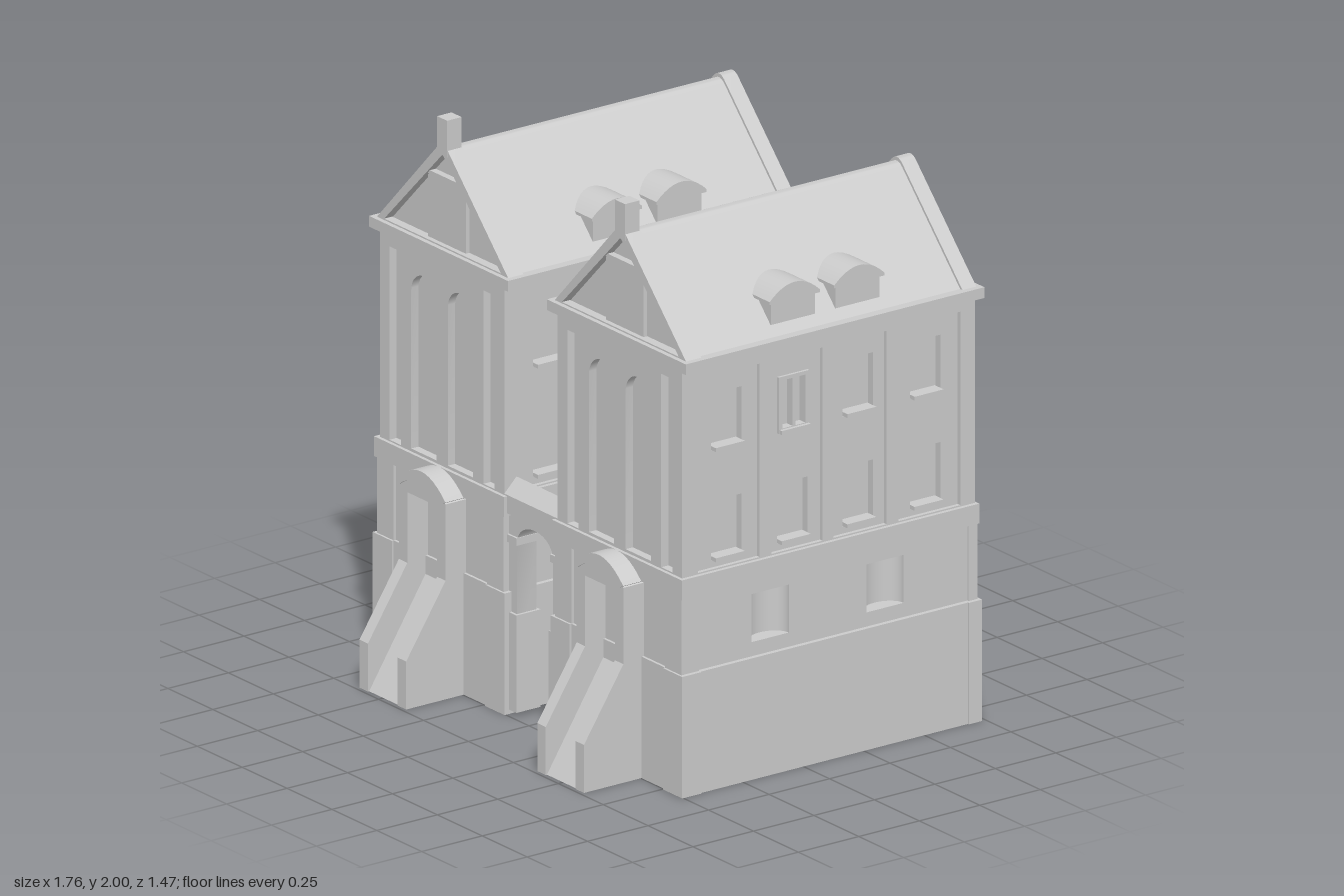
import * as THREE from 'three';
import { toCreasedNormals } from 'three/addons/utils/BufferGeometryUtils.js';

const mat = new THREE.MeshStandardMaterial({ color: 0xcccccc, side: THREE.DoubleSide });

function add(parent, name, geo, x = 0, y = 0, z = 0) {
  const m = new THREE.Mesh(geo, mat);
  m.name = name;
  m.position.set(x, y, z);
  parent.add(m);
  return m;
}

// Box given by its limits
function box(parent, name, x0, x1, y0, y1, z0, z1) {
  return add(parent, name, new THREE.BoxGeometry(x1 - x0, y1 - y0, z1 - z0),
    (x0 + x1) / 2, (y0 + y1) / 2, (z0 + z1) / 2);
}

const poly = (pts, Kind = THREE.Shape) => new Kind(pts.map(p => new THREE.Vector2(...p)));
const rect = (u0, u1, v0, v1, Kind) => poly([[u0, v0], [u1, v0], [u1, v1], [u0, v1]], Kind);
const rectHole = (u0, u1, v0, v1) => rect(u0, u1, v0, v1, THREE.Path);

function extrude(shape, depth, holes = []) {
  shape.holes.push(...holes);
  const g = new THREE.ExtrudeGeometry(shape, { depth, bevelEnabled: false, curveSegments: 12 });
  return toCreasedNormals(g, 0.5);
}

// Shape drawn in x,y and extruded from z0 to z1
const frontPiece = (parent, name, shape, z0, z1, holes) =>
  add(parent, name, extrude(shape, z1 - z0, holes), 0, 0, z0);

// Shape drawn in z,y and extruded from x0 to x1
const sidePiece = (parent, name, shape, x0, x1, holes) =>
  add(parent, name, extrude(shape, x1 - x0, holes).rotateY(-Math.PI / 2), x1, 0, 0);

// Hollow rectangular band around the house
function ring(parent, name, half, y0, y1, z0, z1, t = 0.035) {
  const g = extrude(rect(-half, half, -z1, -z0), y1 - y0,
    [rectHole(-half + t, half - t, -z1 + t, -z0 - t)]);
  add(parent, name, g.rotateX(-Math.PI / 2), 0, y0, 0);
}

// Side piece repeated on both flanks, between distances a and b from the middle
function flanks(parent, name, makeShape, a, b, makeHoles = () => []) {
  sidePiece(parent, name, makeShape(), a, b, makeHoles());
  sidePiece(parent, name, makeShape(), -b, -a, makeHoles());
}

const BAYS = [[0.425, 0.17], [0.12, -0.09], [-0.135, -0.355], [-0.405, -0.66]];
const WINDOW_Z = [0.297, 0.024, -0.247, -0.525];
const WINDOW_Y = [[0.80, 1.01], [1.19, 1.39]];
const NICHE_Z = [0.125, -0.35];

function lowerStorey(h) {
  ring(h, 'plinth', 0.362, 0, 0.43, -0.73, 0.497);
  ring(h, 'stringCourse', 0.362, 0.70, 0.77, -0.727, 0.503, 0.06);
  box(h, 'lowerFrontWall', -0.345, 0.345, 0.43, 0.70, 0.46, 0.487);
  box(h, 'lowerBackWall', -0.345, 0.345, 0.43, 0.70, -0.72, -0.69);
  flanks(h, 'lowerSideWall', () => rect(-0.72, 0.487, 0.43, 0.70), 0.32, 0.345,
    () => NICHE_Z.map(z => rectHole(z - 0.077, z + 0.077, 0.48, 0.65)));

  for (const s of [-1, 1]) {
    // Rounded window niches
    for (const z of NICHE_Z) {
      const start = s > 0 ? Math.PI : 0;
      const n = add(h, 'windowNiche', new THREE.CylinderGeometry(0.077, 0.077, 0.17, 16, 1, false,
        start, Math.PI), s * 0.343, 0.565, z);
      n.scale.x = 0.75;
    }
    // Corner piers, front and back
    const p = (name, a, b, y0, y1, z0, z1) =>
      box(h, name, Math.min(s * a, s * b), Math.max(s * a, s * b), y0, y1, z0, z1);
    p('frontPier', 0.26, 0.352, 0.43, 0.70, 0.425, 0.497);
    p('frontPierBase', 0.26, 0.367, 0, 0.43, 0.425, 0.505);
    p('backPier', 0.32, 0.352, 0.43, 0.70, -0.727, -0.69);
    p('backPierBase', 0.31, 0.367, 0, 0.43, -0.735, -0.68);
  }
}

function entrance(h) {
  // Arched surround with a doorway
  const hood = poly([[-0.13, 0.42], [-0.083, 0.42], [-0.083, 0.67], [0.083, 0.67],
    [0.083, 0.42], [0.13, 0.42], [0.13, 0.69]]);
  hood.quadraticCurveTo(0, 0.835, -0.13, 0.69);
  frontPiece(h, 'doorSurround', hood, 0.48, 0.572);
  const cap = poly([[-0.137, 0.70], [-0.12, 0.69]]);
  cap.quadraticCurveTo(0, 0.78, 0.12, 0.69);
  cap.lineTo(0.137, 0.70);
  cap.quadraticCurveTo(0, 0.84, -0.137, 0.70);
  frontPiece(h, 'doorHood', cap, 0.48, 0.578);
  // Sloping cheeks and the chute between them
  flanks(h, 'chuteCheek', () => poly([[0.48, 0], [0.735, 0], [0.735, 0.17], [0.572, 0.42], [0.48, 0.42]]),
    0.083, 0.13);
  sidePiece(h, 'chute', poly([[0.49, 0.375], [0.49, 0.345], [0.71, 0], [0.73, 0]]), -0.083, 0.083);
}

function upperStorey(h) {
  box(h, 'upperCore', -0.305, 0.305, 0.73, 1.53, -0.708, 0.46);

  // Front with side strips and two tall blind arches
  const arch = x => {
    const p = new THREE.Path();
    p.moveTo(x - 0.07, 0.78);
    p.lineTo(x + 0.07, 0.78);
    p.lineTo(x + 0.07, 1.34);
    p.absarc(x, 1.34, 0.07, 0, Math.PI);
    p.lineTo(x - 0.07, 0.78);
    return p;
  };
  frontPiece(h, 'frontWall', rect(-0.347, 0.347, 0.75, 1.52), 0.458, 0.49,
    [arch(-0.102), arch(0.102), rectHole(-0.293, -0.23, 0.775, 1.46), rectHole(0.23, 0.293, 0.775, 1.46)]);

  // Side walls: pilaster layer over window layer
  flanks(h, 'pilasterLayer', () => rect(-0.72, 0.47, 0.75, 1.52), 0.33, 0.347,
    () => BAYS.map(([a, b]) => rectHole(b, a, 0.775, 1.46)));
  flanks(h, 'windowLayer', () => rect(-0.715, 0.465, 0.75, 1.52), 0.30, 0.332,
    () => WINDOW_Z.flatMap(z => WINDOW_Y.map(([a, b]) => rectHole(z - 0.063, z + 0.063, a, b))));
  for (const z of WINDOW_Z) for (const [y] of WINDOW_Y)
    flanks(h, 'windowSill', () => rect(z - 0.06, z + 0.06, y, y + 0.014), 0.30, 0.355);

  // One casement with a frame and mullion
  const z = WINDOW_Z[1];
  flanks(h, 'casementFrame', () => rect(z - 0.063, z + 0.063, 1.19, 1.39), 0.31, 0.342,
    () => [rectHole(z - 0.047, z - 0.006, 1.207, 1.377), rectHole(z + 0.006, z + 0.047, 1.207, 1.377)]);
}

// Steep gable outline with a rounded ridge, grown by o
function gable(o) {
  const s = poly([[-0.36 - o, 1.535], [0.36 + o, 1.535], [0.03, 1.878 + o]]);
  s.quadraticCurveTo(0, 1.908 + o, -0.03, 1.878 + o);
  return s;
}

function roof(h) {
  box(h, 'eavesCornice', -0.387, 0.387, 1.505, 1.543, -0.73, 0.505);
  frontPiece(h, 'roof', gable(0), -0.66, 0.43);
  frontPiece(h, 'backCoping', gable(0.013), -0.712, -0.655);

  // Front gable with sunk panels
  const tri = pts => poly(pts, THREE.Path);
  frontPiece(h, 'frontGable', gable(0.013), 0.425, 0.488,
    [tri([[-0.325, 1.548], [0.325, 1.548], [0, 1.872]])]);
  frontPiece(h, 'gableSidePanels', poly([[-0.33, 1.54], [0.33, 1.54], [0, 1.875]]), 0.43, 0.455);
  box(h, 'gableCentrePanel', -0.105, 0.105, 1.54, 1.785, 0.43, 0.47);
  box(h, 'gableBeam', -0.1, 0.1, 1.778, 1.79, 0.43, 0.48);
  box(h, 'chimney', -0.028, 0.028, 1.87, 2.0, 0.43, 0.49);

  // Dormers with curved roofs, two on each slope
  for (const z of [0.015, -0.252]) {
    const top = (w, y0, y1, crown) => {
      const s = poly([[z - w, y0], [z + w, y0], [z + w, y1]]);
      s.quadraticCurveTo(z, 2 * crown - y1, z - w, y1);
      return s;
    };
    flanks(h, 'dormer', () => top(0.091, 1.575, 1.655, 1.70), 0.17, 0.323);
    flanks(h, 'dormerRoof', () => top(0.104, 1.652, 1.662, 1.712), 0.15, 0.334);
  }
}

function gateway() {
  const g = new THREE.Group();
  g.name = 'gateway';
  // Arched wall between the houses
  const s = poly([[-0.15, 0.015], [-0.1, 0.015], [-0.1, 0.62]]);
  s.bezierCurveTo(-0.085, 0.705, 0.085, 0.705, 0.1, 0.62);
  [[0.1, 0.015], [0.15, 0.015], [0.15, 0.72], [-0.15, 0.72]].forEach(p => s.lineTo(...p));
  frontPiece(g, 'archWall', s, 0.395, 0.475);
  for (const x of [-1, 1]) {
    box(g, 'gatePierBase', x * 0.12 - 0.03, x * 0.12 + 0.03, 0.015, 0.36, 0.385, 0.485);
    box(g, 'impost', x * 0.121 - 0.028, x * 0.121 + 0.028, 0.605, 0.632, 0.387, 0.483);
  }
  sidePiece(g, 'gateCoping', poly([[0.39, 0.71], [0.49, 0.71], [0.49, 0.775], [0.44, 0.825], [0.39, 0.79]]),
    -0.15, 0.15);
  return g;
}

export function createModel() {
  const model = new THREE.Group();
  model.name = 'twinHouses';
  for (const [name, x] of [['rightHouse', -0.497], ['leftHouse', 0.493]]) {
    const h = new THREE.Group();
    h.name = name;
    h.position.x = x;
    [lowerStorey, entrance, upperStorey, roof].forEach(build => build(h));
    model.add(h);
  }
  model.add(gateway());
  return model;
}
